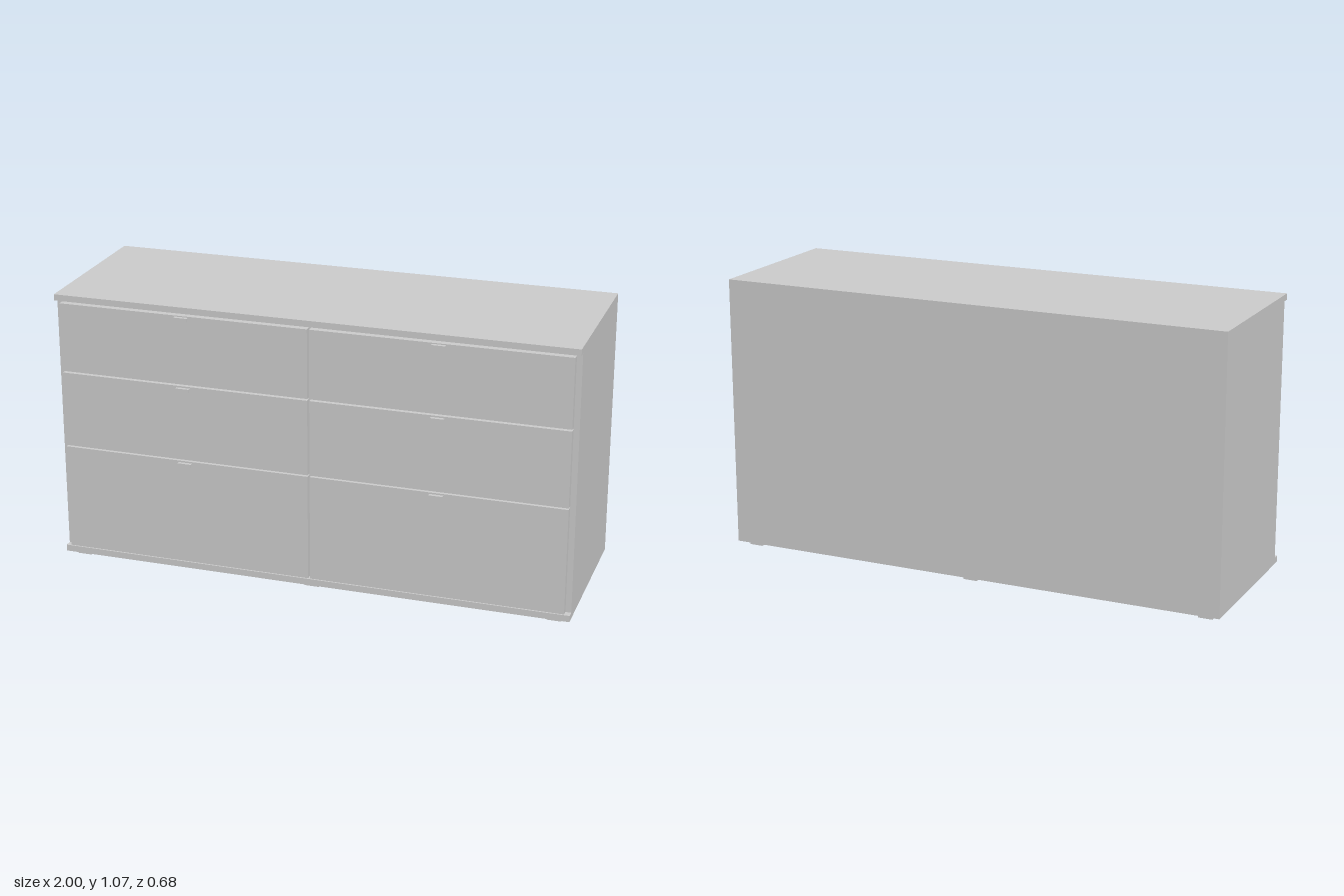
import * as THREE from 'three';

const grey = new THREE.MeshStandardMaterial({ color: 0xcccccc });

// Box given by its min and max corners
function block(parent, name, [x0, y0, z0], [x1, y1, z1]) {
  const mesh = new THREE.Mesh(new THREE.BoxGeometry(x1 - x0, y1 - y0, z1 - z0), grey);
  mesh.position.set((x0 + x1) / 2, (y0 + y1) / 2, (z0 + z1) / 2);
  mesh.name = name;
  parent.add(mesh);
  return mesh;
}

export function createModel() {
  const model = new THREE.Group();
  model.name = 'chestOfDrawers';
  const back = -0.337, front = 0.325, carcassFront = 0.297;
  const baseTop = 0.043, topUnder = 1.046;

  // Top and base boards overhang the carcass at the front
  block(model, 'topBoard', [-1, topUnder, back], [1, 1.07, front]);
  block(model, 'baseBoard', [-1, 0.018, back], [1, baseTop, front]);

  // Carcass: sides, divider and back
  for (const s of [-1, 1]) {
    const x = s * 0.989;
    block(model, s > 0 ? 'leftSide' : 'rightSide',
      [x - 0.011, baseTop, back], [x + 0.011, topUnder, carcassFront]);
  }
  block(model, 'divider', [-0.011, baseTop, back + 0.01], [0.011, topUnder, carcassFront]);
  block(model, 'backPanel', [-0.978, baseTop, back], [0.978, topUnder, back + 0.01]);

  // Rails behind the gaps between drawers
  for (const y of [0.464, 0.766, 1.034]) {
    block(model, 'rail', [-0.978, y - 0.012, carcassFront - 0.05], [0.978, y + 0.012, carcassFront]);
  }

  // Hooked tab pull: flat lip with a turned-down edge
  const pull = new THREE.Shape();
  [[0, 0], [0.0135, 0], [0.0135, -0.013], [0.0105, -0.013], [0.0105, -0.004], [0, -0.004]]
    .forEach(([z, y], i) => (i ? pull.lineTo(z, y) : pull.moveTo(z, y)));
  const pullWidth = 0.053;
  const pullGeometry = new THREE.ExtrudeGeometry(pull, { depth: pullWidth, bevelEnabled: false })
    .translate(0, 0, -pullWidth / 2).rotateY(-Math.PI / 2);

  // Two columns of three drawers: [bottom, top, pull height]
  const rows = [[0.046, 0.461, 0.455], [0.467, 0.762, 0.756], [0.769, 1.037, 1.033]];
  for (const s of [-1, 1]) {
    for (const [y0, y1, pullY] of rows) {
      const drawer = new THREE.Group();
      drawer.name = 'drawer';
      const x = s * 0.4915;
      block(drawer, 'drawerFront', [x - 0.4875, y0, 0.3], [x + 0.4875, y1, front]);
      // Open drawer tray
      const b = y0 + 0.025, t = y1 - 0.03, zb = back + 0.03;
      block(drawer, 'drawerBottom', [x - 0.46, b, zb], [x + 0.46, b + 0.01, 0.3]);
      block(drawer, 'drawerBack', [x - 0.46, b + 0.01, zb], [x + 0.46, t, zb + 0.015]);
      for (const e of [-1, 1]) {
        const sx = x + e * 0.4525;
        block(drawer, 'drawerSide', [sx - 0.0075, b + 0.01, zb + 0.015], [sx + 0.0075, t, 0.3]);
      }
      const handle = new THREE.Mesh(pullGeometry, grey);
      handle.name = 'pull';
      handle.position.set(s * 0.49, pullY, front);
      drawer.add(handle);
      model.add(drawer);
    }
  }

  // Six low feet
  for (const x of [-0.937, 0, 0.937]) {
    for (const z of [-0.286, 0.273]) {
      block(model, 'foot', [x - 0.028, 0, z - 0.022], [x + 0.028, 0.018, z + 0.022]);
    }
  }
  return model;
}
